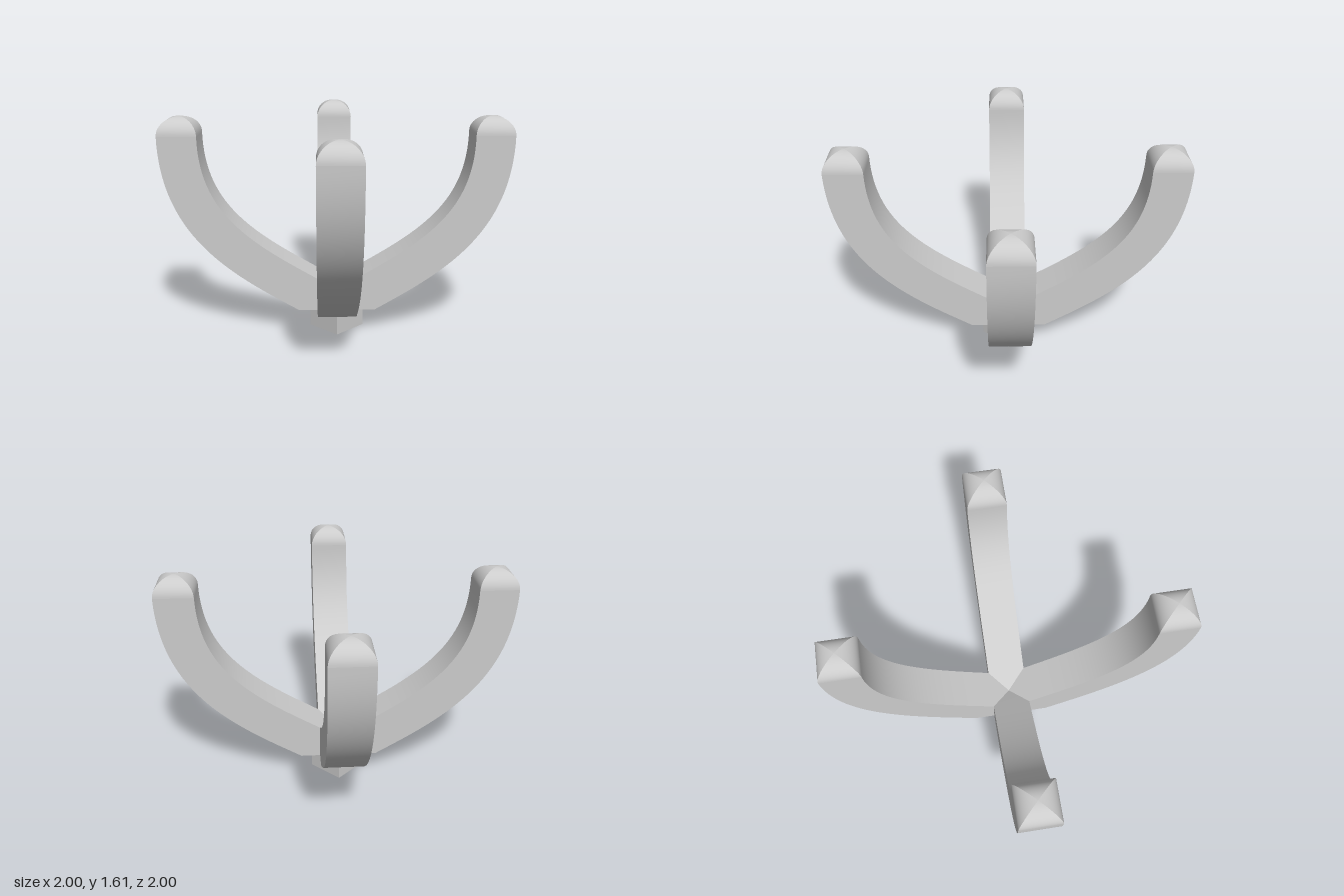
import * as THREE from 'three';
import { toCreasedNormals, mergeVertices } from 'three/addons/utils/BufferGeometryUtils.js';

const HALF = 0.1414;          // half the thickness of an arm
const SPRING = 1.48;          // height where the rounded tip begins
const TIP_RADIUS = 1.1314;    // distance of the tip from the centre
const BOTTOM = 0.175;         // underside of the arms

const material = new THREE.MeshStandardMaterial({ color: 0xcccccc });

function part(name, geometry) {
  const mesh = new THREE.Mesh(geometry, material);
  mesh.name = name;
  return mesh;
}

// Arm outline in the radial plane: a curved outer edge and its parallel inner edge.
function armGeometry() {
  const outer = new THREE.CubicBezierCurve(
    new THREE.Vector2(0.283, BOTTOM), new THREE.Vector2(0.76, 0.45),
    new THREE.Vector2(1.2728, 0.74), new THREE.Vector2(1.2728, SPRING));
  const steps = 36;
  const outerEdge = [], innerEdge = [];
  for (let i = 0; i <= steps; i++) {
    const p = outer.getPoint(i / steps);
    const t = outer.getTangent(i / steps);
    outerEdge.push(p);
    innerEdge.unshift(new THREE.Vector2(p.x - t.y * HALF * 2, p.y + t.x * HALF * 2));
  }
  const shape = new THREE.Shape([
    new THREE.Vector2(0, BOTTOM), ...outerEdge, ...innerEdge, new THREE.Vector2(0, 0.337),
  ]);
  const geometry = new THREE.ExtrudeGeometry(shape, { depth: HALF * 2, bevelEnabled: false });
  geometry.translate(0, 0, -HALF);
  geometry.deleteAttribute('uv');
  geometry.deleteAttribute('normal');
  return toCreasedNormals(mergeVertices(geometry), Math.PI / 7);
}

// One side of the four-sided rounded tip, curving in to the middle.
function tipSideGeometry() {
  const height = 0.13, steps = 14;
  const positions = [], indices = [];
  for (let i = 0; i <= steps; i++) {
    const a = (i / steps) * Math.PI / 2;
    const w = HALF * Math.cos(a), y = height * Math.sin(a);
    positions.push(w, y, w, w, y, -w);
    if (i < steps) {
      const k = i * 2;
      indices.push(k, k + 1, k + 2, k + 1, k + 3, k + 2);
    }
  }
  const geometry = new THREE.BufferGeometry();
  geometry.setAttribute('position', new THREE.Float32BufferAttribute(positions, 3));
  geometry.setIndex(indices);
  geometry.computeVertexNormals();
  return geometry;
}

export function createModel() {
  const model = new THREE.Group();
  model.name = 'fourArmedHolder';

  // Square foot
  const foot = part('foot', new THREE.BoxGeometry(0.283, 0.2, 0.283));
  foot.position.y = 0.1;
  model.add(foot);

  // Four arms on the diagonals, each with a rounded tip
  const armShape = armGeometry();
  const tipSide = tipSideGeometry();
  for (let i = 0; i < 4; i++) {
    const arm = new THREE.Group();
    arm.name = 'arm';
    arm.add(part('armBeam', armShape));

    const tip = new THREE.Group();
    tip.name = 'armTip';
    tip.position.set(TIP_RADIUS, SPRING, 0);
    for (let s = 0; s < 4; s++) {
      const side = part('tipSide', tipSide);
      side.rotation.y = s * Math.PI / 2;
      tip.add(side);
    }
    arm.add(tip);

    arm.rotation.y = Math.PI / 4 + i * Math.PI / 2;
    model.add(arm);
  }
  return model;
}
